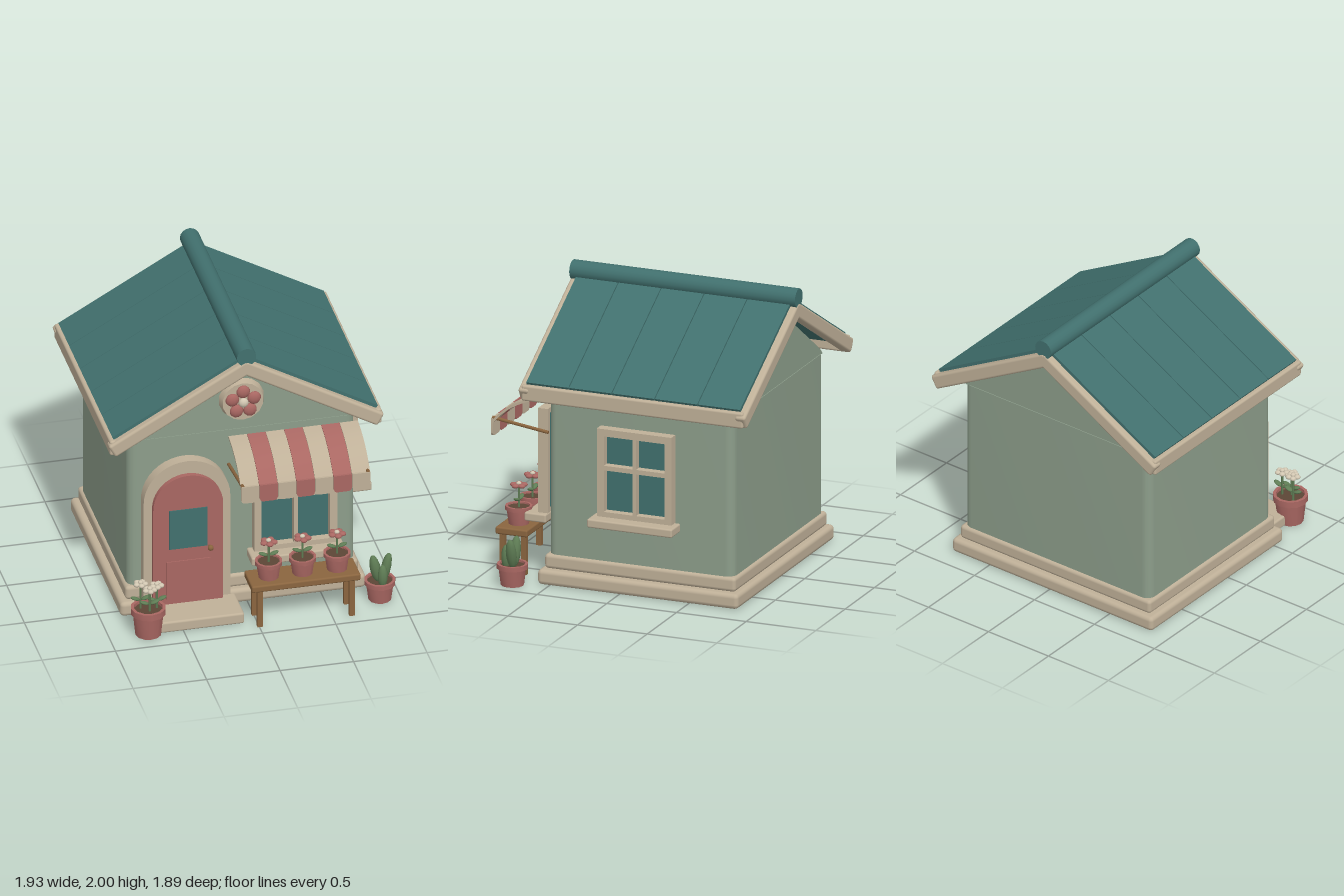
import * as THREE from 'three';
import { toCreasedNormals } from 'three/addons/utils/BufferGeometryUtils.js';
import { RoundedBoxGeometry } from 'three/addons/geometries/RoundedBoxGeometry.js';

const mat = (name, color) => Object.assign(new THREE.MeshStandardMaterial({ color }), { name });
const sage = mat('sage wall', 0x8c9d8a);
const cream = mat('cream trim', 0xbfb098);
const teal = mat('teal roof and glass', 0x41706e);
const red = mat('dusty red', 0xa96762);
const wood = mat('brown wood', 0x8a653f);
const green = mat('leaf green', 0x5f7d55);
const pale = mat('pale petal', 0xd2c7b2);
const soilMat = mat('soil', 0x5c4636);

const CX = -0.03, CZ = -0.135; // middle of the house

function add(parent, name, geo, material, x = 0, y = 0, z = 0) {
  const m = new THREE.Mesh(geo, material);
  m.name = name;
  m.position.set(x, y, z);
  parent.add(m);
  return m;
}
function group(parent, name, x = 0, y = 0, z = 0) {
  const g = new THREE.Group();
  g.name = name;
  g.position.set(x, y, z);
  parent.add(g);
  return g;
}
const rbox = (w, h, d, r = 0.012) => new RoundedBoxGeometry(w, h, d, 2, r);
const box = (w, h, d) => new THREE.BoxGeometry(w, h, d);
const extrude = (shape, depth, curveSegments = 10) =>
  toCreasedNormals(new THREE.ExtrudeGeometry(shape, { depth, bevelEnabled: false, curveSegments }), 0.5);

// Cylinder between two points
function rod(parent, name, a, b, r, material, sides = 8) {
  const d = b.clone().sub(a);
  const m = add(parent, name, new THREE.CylinderGeometry(r, r, d.length(), sides), material);
  m.position.copy(a).add(b).multiplyScalar(0.5);
  m.quaternion.setFromUnitVectors(new THREE.Vector3(0, 1, 0), d.normalize());
  return m;
}
function blob(parent, name, material, x, y, z, sx, sy, sz, rz = 0, ry = 0) {
  const m = add(parent, name, new THREE.SphereGeometry(1, 10, 7), material, x, y, z);
  m.scale.set(sx, sy, sz);
  m.rotation.set(0, ry, rz);
  return m;
}
function rectPath(P, x0, y0, x1, y1) {
  const p = new P();
  p.moveTo(x0, y0); p.lineTo(x1, y0); p.lineTo(x1, y1); p.lineTo(x0, y1); p.closePath();
  return p;
}
function archShape(w, spring) {
  const s = new THREE.Shape();
  s.moveTo(-w, 0);
  s.lineTo(-w, spring);
  s.absarc(0, spring, w, Math.PI, 0, true);
  s.lineTo(w, 0);
  return s;
}

// Framed four-pane window facing +z, base of frame at local y = 0
function windowUnit(parent, name, w, h) {
  const g = group(parent, name);
  const e = 0.05, bar = 0.013, mid = h / 2 + 0.035, x = w / 2 - e;
  const frame = rectPath(THREE.Shape, -w / 2, 0, w / 2, h);
  for (const [x0, x1] of [[-x, -bar], [bar, x]])
    for (const [y0, y1] of [[e * 0.7, mid - 0.016], [mid + 0.016, h - e]])
      frame.holes.push(rectPath(THREE.Path, x0, y0, x1, y1));
  add(g, 'windowFrame', extrude(frame, 0.07), cream);
  add(g, 'windowGlass', box(w - 0.08, h - 0.07, 0.025), teal, 0, h / 2, 0.002);
  add(g, 'windowSill', rbox(w + 0.075, 0.06, 0.155), cream, 0, -0.03, 0.0775);
  return g;
}

function pot(parent, name, x, y, z, r, h) {
  const g = group(parent, name, x, y, z);
  const profile = [[0, 0], [r * 0.74, 0], [r * 0.88, h * 0.76], [r, h * 0.78], [r, h], [r * 0.82, h], [r * 0.8, h * 0.86]]
    .map(([a, b]) => new THREE.Vector2(a, b));
  add(g, 'pot', toCreasedNormals(new THREE.LatheGeometry(profile, 12), 0.6), red);
  add(g, 'soil', new THREE.CylinderGeometry(r * 0.82, r * 0.82, 0.01, 12), soilMat, 0, h * 0.87, 0);
  return g;
}

function flower(parent, x, z, y0, y1, petal, size) {
  const g = group(parent, 'flower', x, 0, z);
  rod(g, 'stem', new THREE.Vector3(0, y0, 0), new THREE.Vector3(0, y1, 0), 0.008, green, 6);
  for (let i = 0; i < 5; i++) {
    const a = i * Math.PI * 0.4 + 0.3;
    blob(g, 'petal', petal, Math.cos(a) * size, y1, Math.sin(a) * size, size * 0.7, 0.015, size * 0.7);
  }
  blob(g, 'flowerCentre', pale, 0, y1 + 0.012, 0, 0.018, 0.013, 0.018);
  for (const s of [-1, 1]) blob(g, 'leaf', green, s * 0.036, y0 + (y1 - y0) * 0.45, 0, 0.034, 0.011, 0.02, s * 0.35);
}

function buildWalls(house) {
  add(house, 'lowerPlinth', rbox(1.67, 0.105, 1.44, 0.03), cream, 0, 0.0525, 0);
  add(house, 'upperPlinth', rbox(1.585, 0.1, 1.37, 0.025), cream, 0, 0.155, 0);
  // Walls with rounded corners
  const x = 0.773, z = 0.665, r = 0.06, s = new THREE.Shape();
  s.absarc(x - r, z - r, r, 0, Math.PI / 2);
  s.absarc(-x + r, z - r, r, Math.PI / 2, Math.PI);
  s.absarc(-x + r, -z + r, r, Math.PI, Math.PI * 1.5);
  s.absarc(x - r, -z + r, r, Math.PI * 1.5, Math.PI * 2);
  add(house, 'walls', extrude(s, 1.11, 6).rotateX(-Math.PI / 2), sage, 0, 0.2, 0);
  const t = new THREE.Shape([[-0.765, 0], [0.765, 0], [0.72, 0.045], [0, 0.535], [-0.72, 0.045]]
    .map(([a, b]) => new THREE.Vector2(a, b)));
  add(house, 'gable', extrude(t, 1.32), sage, 0, 1.305, -0.66);
}

function buildRoof(house) {
  const a = 0.515, apex = 1.906, c = Math.cos(a), sn = Math.sin(a);
  // Lays a geometry along one slope: n is its height above the slope line
  const lay = (name, geo, material, s, len, n, z) => {
    const m = add(house, name, geo, material, s * (c * len / 2 + sn * n), apex - sn * len / 2 + c * n, z);
    m.rotation.z = -s * a;
  };
  for (const s of [-1, 1]) {
    for (const z of [0.777, -0.777]) lay('rakeTrim', rbox(1.08, 0.1, 0.075, 0.018), cream, s, 1.08, -0.05, z);
    lay('roofDeck', box(1.02, 0.06, 1.53), teal, s, 1.02, -0.022, 0);
    for (let i = 0; i < 5; i++)
      lay('roofPanel', box(1.025, 0.05, 0.302), teal, s, 1.025, -0.003, (i - 2) * 0.308);
    add(house, 'eaveFascia', rbox(0.06, 0.11, 1.59, 0.015), cream, s * 0.895, 1.35, 0);
  }
  const ridge = add(house, 'ridgeRoll', new THREE.CylinderGeometry(0.066, 0.066, 1.62, 16), teal, 0, 1.934, 0);
  ridge.rotation.x = Math.PI / 2;
}

function buildDoor(root) {
  const g = group(root, 'door', -0.42, 0.095, 0.5);
  const s = archShape(0.295, 0.765), w = 0.238;
  s.lineTo(w, 0);
  s.lineTo(w, 0.73);
  s.absarc(0, 0.73, w, 0, Math.PI, false);
  s.lineTo(-w, 0);
  add(g, 'doorSurround', extrude(s, 0.11), cream);
  add(g, 'doorLeaf', extrude(archShape(w, 0.73)  , 0.145), red);
  add(g, 'doorGlass', box(0.26, 0.295, 0.008), teal, 0, 0.567, 0.147);
  add(g, 'doorPanel', box(0.3, 0.285, 0.009), red, 0, 0.182, 0.148);
  blob(g, 'doorKnob', wood, 0.145, 0.415, 0.18, 0.02, 0.02, 0.018);
  rod(g, 'knobStem', new THREE.Vector3(0.145, 0.415, 0.14), new THREE.Vector3(0.145, 0.415, 0.18), 0.008, wood);
  add(root, 'doorStep', rbox(0.67, 0.08, 0.32, 0.015), cream, -0.42, 0.04, 0.69);
}

function buildAwning(root) {
  const g = group(root, 'awning'), w = 0.126;
  const top = new THREE.CatmullRomCurve3([[0.57, 1.285], [0.68, 1.258], [0.8, 1.2], [0.88, 1.135], [0.935, 1.075]]
    .map(([z, y]) => new THREE.Vector3(z, y, 0))).getPoints(10).map(p => new THREE.Vector2(p.x, p.y));
  const under = top.map(p => new THREE.Vector2(p.x - 0.008, p.y - 0.014)).reverse();
  const band = new THREE.Shape([...top, ...under]);
  const flap = new THREE.Shape(), h = w / 2 - 0.002, r = 0.03;
  flap.moveTo(-h, 0.125);
  flap.lineTo(-h, r);
  flap.quadraticCurveTo(-h, 0, -h + r, 0);
  flap.lineTo(h - r, 0);
  flap.quadraticCurveTo(h, 0, h, r);
  flap.lineTo(h, 0.125);
  for (let i = 0; i < 7; i++) {
    const x = -0.13 + w * i, m = i % 2 ? red : cream;
    add(g, 'awningStripe', extrude(band, w - 0.002).rotateY(-Math.PI / 2), m, x + w, 0, 0);
    add(g, 'awningFlap', extrude(flap, 0.016), m, x + w / 2, 0.973, 0.921);
  }
  for (const x of [-0.117, 0.737])
    rod(g, 'awningArm', new THREE.Vector3(x, 1.1, 0.93), new THREE.Vector3(x, 1.045, 0.53), 0.012, wood);
}

function buildPlaque(root) {
  const g = group(root, 'gablePlaque', CX, 1.54, 0.53);
  const disc = (name, r0, r1, d, z) => add(g, name, new THREE.CylinderGeometry(r0, r1, d, 14), cream, 0, 0, z).rotation.x = Math.PI / 2;
  disc('plaqueDisc', 0.14, 0.155, 0.05, 0.02);
  for (let i = 0; i < 5; i++) {
    const a = Math.PI / 2 + i * Math.PI * 0.4;
    blob(g, 'plaquePetal', red, Math.cos(a) * 0.078, Math.sin(a) * 0.078, 0.05, 0.047, 0.047, 0.025);
  }
  blob(g, 'plaqueCentre', pale, 0, 0, 0.06, 0.034, 0.034, 0.025);
}

function buildBench(root) {
  const g = group(root, 'plantBench');
  add(g, 'benchTop', rbox(0.74, 0.05, 0.23), wood, 0.315, 0.298, 0.82);
  for (const x of [0.005, 0.63])
    for (const z of [0.745, 0.9]) add(g, 'benchLeg', box(0.036, 0.28, 0.036), wood, x, 0.14, z);
  for (const x of [0.085, 0.315, 0.55]) {
    const p = pot(g, 'benchPot', x, 0.323, 0.82, 0.092, 0.125);
    flower(p, 0, 0, 0.1, 0.265, red, 0.036);
  }
}

function buildFloorPots(root) {
  const left = pot(root, 'flowerPot', -0.735, 0, 0.825, 0.118, 0.205);
  for (const [x, z, y] of [[-0.045, -0.03, 0.37], [0.005, 0.02, 0.345], [0.06, -0.01, 0.355]])
    flower(left, x, z, 0.17, y, pale, 0.03);
  const right = pot(root, 'cactusPot', 0.862, 0, 0.735, 0.105, 0.148);
  blob(right, 'cactusLeaf', green, -0.028, 0.225, -0.01, 0.036, 0.105, 0.036, 0.2);
  blob(right, 'cactusLeaf', green, 0.044, 0.225, -0.01, 0.034, 0.11, 0.036, -0.22);
  blob(right, 'cactusLeaf', green, 0.01, 0.19, 0.04, 0.034, 0.085, 0.034);
}

export function createModel() {
  const root = new THREE.Group();
  root.name = 'cottageShop';
  const house = group(root, 'house', CX, 0, CZ);
  buildWalls(house);
  buildRoof(house);
  buildDoor(root);
  buildPlaque(root);
  windowUnit(root, 'frontWindow', 0.565, 0.725).position.set(0.308, 0.43, 0.595);
  const side = windowUnit(root, 'sideWindow', 0.535, 0.61);
  side.position.set(0.79, 0.55, -0.137);
  side.rotation.y = Math.PI / 2;
  buildAwning(root);
  buildBench(root);
  buildFloorPots(root);
  return root;
}
